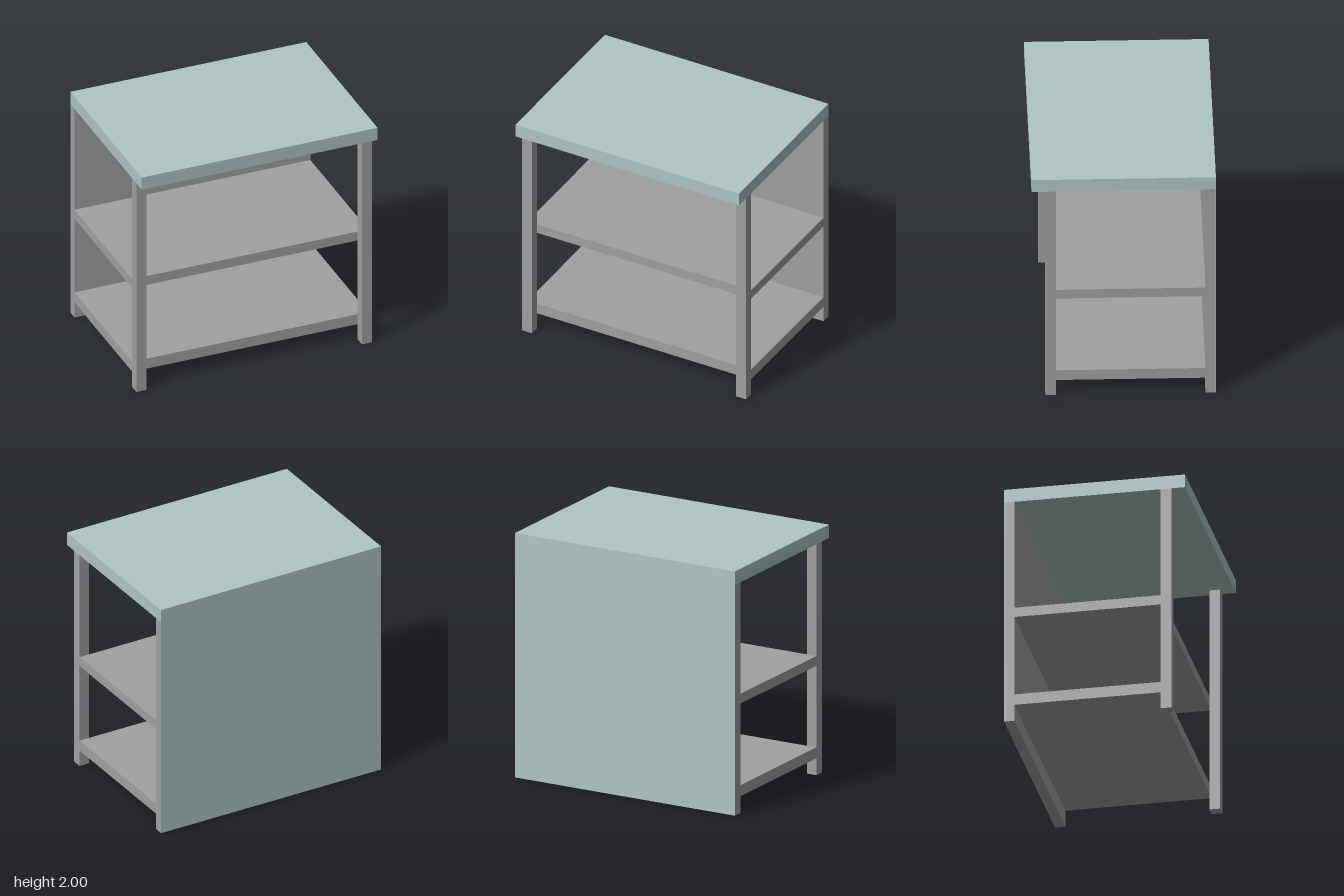
import * as THREE from 'three';

const grey = new THREE.MeshStandardMaterial({ color: 0xa2a1a1 });
const teal = new THREE.MeshStandardMaterial({ color: 0xafc6c4 });

// Box given by its minimum and maximum corners
function slab(name, [x0, y0, z0], [x1, y1, z1], material) {
  const geometry = new THREE.BoxGeometry(x1 - x0, y1 - y0, z1 - z0);
  const mesh = new THREE.Mesh(geometry, material);
  mesh.name = name;
  mesh.position.set((x0 + x1) / 2, (y0 + y1) / 2, (z0 + z1) / 2);
  return mesh;
}

export function createModel() {
  const group = new THREE.Group();
  group.name = 'shelfTable';

  const underside = 1.89;
  const back = -0.722;
  const veneer = 0.002;
  const panelFront = -0.64;
  const legBack = 0.528;
  const legFront = 0.613;
  const legWidth = 0.087;

  // Overhanging top
  group.add(slab('tableTop', [-1, underside, back], [1, 2, 0.722], teal));

  // Full-height back panel with a coloured outer face
  group.add(slab('backPanel', [-1, 0, back + veneer], [1, underside, panelFront], grey));
  group.add(slab('backFacing', [-1, 0, back], [1, underside, back + veneer], teal));

  // Two square front legs
  group.add(slab('leftFrontLeg', [1 - legWidth, 0, legBack], [1, underside, legFront], grey));
  group.add(slab('rightFrontLeg', [-1, 0, legBack], [-1 + legWidth, underside, legFront], grey));

  // Shelves between the legs and the back panel
  for (const [name, bottom, top] of [['lowerShelf', 0.138, 0.228], ['middleShelf', 0.896, 0.976]]) {
    group.add(slab(name, [-1, bottom, panelFront], [1, top, legBack], grey));
  }

  return group;
}
